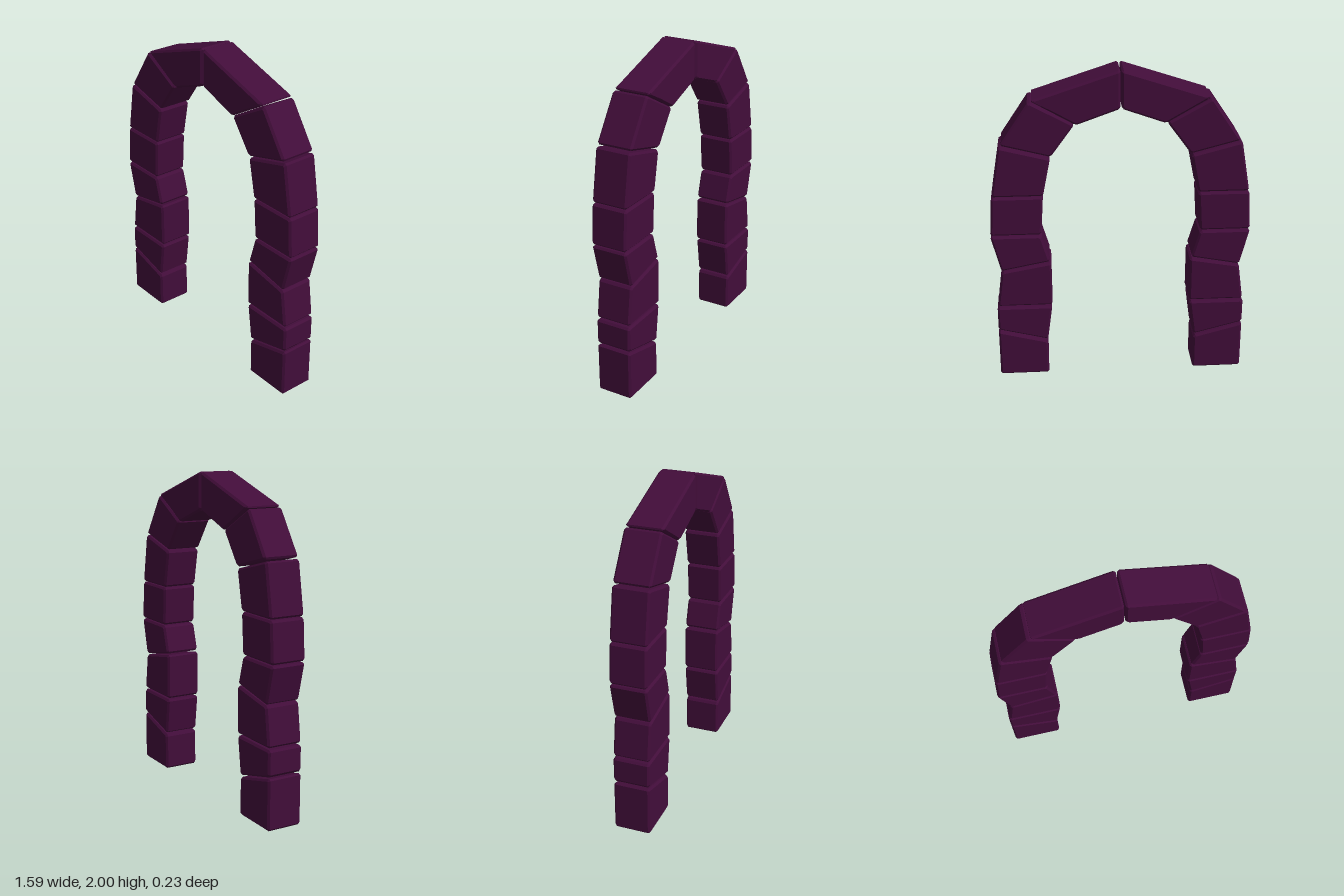
import * as THREE from 'three';

const DEPTH = 0.226;
const BEVEL = 0.012;

// Left-side stones from ground to crown: inner bottom, outer bottom, outer top, inner top
const STONES = [
  [[0.465, 0], [0.775, 0], [0.775, 0.317], [0.465, 0.235]],
  [[0.465, 0.248], [0.775, 0.328], [0.775, 0.485], [0.433, 0.485]],
  [[0.43, 0.497], [0.77, 0.497], [0.738, 0.735], [0.43, 0.79]],
  [[0.436, 0.8], [0.738, 0.742], [0.796, 0.975], [0.487, 0.975]],
  [[0.485, 0.983], [0.795, 0.983], [0.779, 1.23], [0.469, 1.23]],
  [[0.468, 1.236], [0.777, 1.236], [0.723, 1.553], [0.42, 1.474]],
  [[0.416, 1.484], [0.714, 1.562], [0.537, 1.825], [0.273, 1.68]],
  [[0.264, 1.677], [0.53, 1.83], [0.004, 2.002], [0.004, 1.77]],
];

// Wedge stone with every edge chamfered
function stoneGeometry(corners) {
  const pts = corners.map(([x, y]) => new THREE.Vector2(x, y));
  const outline = [];
  pts.forEach((p, i) => {
    const prev = pts[(i + 3) % 4], next = pts[(i + 1) % 4];
    for (const q of [prev, next]) {
      outline.push(p.clone().add(q.clone().sub(p).setLength(BEVEL)));
    }
  });
  const geometry = new THREE.ExtrudeGeometry(new THREE.Shape(outline), {
    depth: DEPTH - 2 * BEVEL,
    bevelEnabled: true,
    bevelThickness: BEVEL,
    bevelSize: BEVEL,
    bevelOffset: -BEVEL,
    bevelSegments: 1,
  });
  return geometry.translate(0, 0, BEVEL - DEPTH / 2);
}

export function createModel() {
  const model = new THREE.Group();
  model.name = 'stoneArch';
  const material = new THREE.MeshStandardMaterial({ color: 0x420d3a, flatShading: true });

  // Two mirrored halves that meet at the crown
  for (const side of [1, -1]) {
    const half = new THREE.Group();
    half.name = side > 0 ? 'leftHalf' : 'rightHalf';
    STONES.forEach((stone, i) => {
      const corners = stone.map(([x, y]) => [x * side, y]);
      if (side < 0) corners.reverse();
      const mesh = new THREE.Mesh(stoneGeometry(corners), material);
      mesh.name = i === STONES.length - 1 ? 'crownStone' : `archStone${i + 1}`;
      half.add(mesh);
    });
    model.add(half);
  }
  return model;
}
